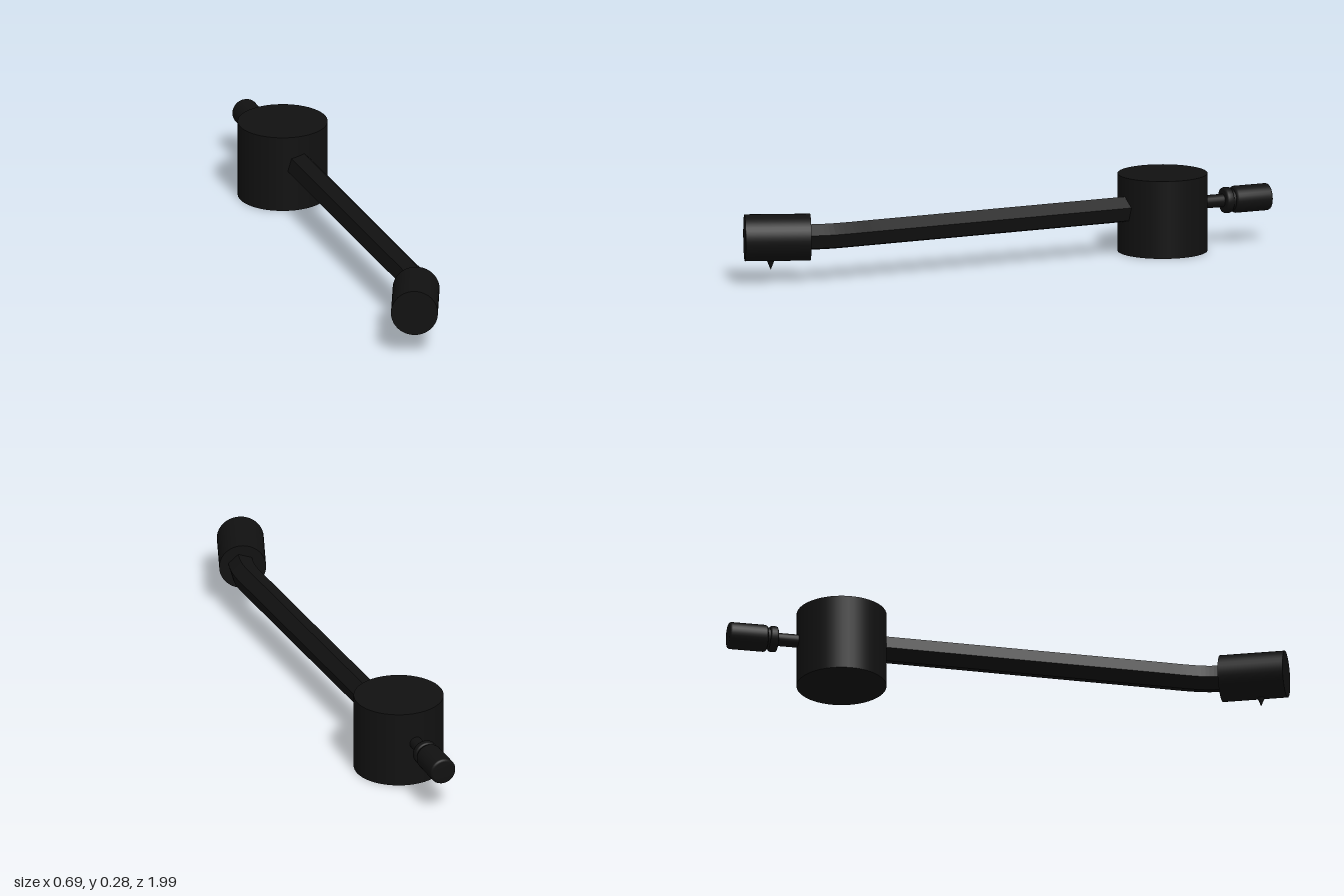
import * as THREE from 'three';

const black = new THREE.MeshStandardMaterial({ color: 0x111111 });
const blackFaceted = new THREE.MeshStandardMaterial({ color: 0x111111, flatShading: true });
const AXIS_Y = 0.166;

export function createModel() {
  const model = new THREE.Group();
  model.name = 'pivotingArm';

  const add = (name, geometry, parent = model, material = black) => {
    const mesh = new THREE.Mesh(geometry, material);
    mesh.name = name;
    parent.add(mesh);
    return mesh;
  };

  // Upright pivot drum
  add('pivotBase', new THREE.CylinderGeometry(0.163, 0.163, 0.285, 48))
    .position.set(-0.174, 0.1425, -0.585);

  // Hexagonal arm, straight and then bent towards the head
  const path = new THREE.CatmullRomCurve3([
    [-0.164, -0.585], [-0.03, -0.185], [0.104, 0.215], [0.204, 0.515],
    [0.238, 0.615], [0.256, 0.68], [0.262, 0.735], [0.262, 0.78],
  ].map(([x, z]) => new THREE.Vector3(x, AXIS_Y, z)));
  const hexagon = new THREE.Shape(Array.from({ length: 6 }, (_, i) => {
    const a = Math.PI / 4 + i * Math.PI / 3;
    return new THREE.Vector2(0.051 * Math.cos(a), 0.051 * Math.sin(a));
  }));
  add('armTube', new THREE.ExtrudeGeometry(hexagon, { steps: 80, extrudePath: path }), model, blackFaceted);

  // Cylindrical head with the needle below it
  const head = new THREE.Group();
  head.name = 'head';
  head.position.set(0.252, AXIS_Y - 0.001, 0.87);
  head.rotation.y = -0.063;
  model.add(head);
  add('headShell', new THREE.CylinderGeometry(0.085, 0.085, 0.238, 40).rotateX(Math.PI / 2), head);
  add('needle', new THREE.ConeGeometry(0.02, 0.05, 16).rotateX(Math.PI), head)
    .position.set(0.01, -0.092, 0.025);

  // Rear assembly, running backwards from the drum
  const rear = new THREE.Group();
  rear.name = 'rearAssembly';
  rear.position.set(-0.174, AXIS_Y - 0.001, -0.585);
  rear.rotation.y = 0.3;
  model.add(rear);
  add('rearRod', new THREE.CylinderGeometry(0.024, 0.024, 0.3, 20).rotateX(-Math.PI / 2), rear)
    .position.z = -0.15;

  // Turned parts with softened rims, spun around the rod
  const turned = (name, from, to, radius, bevel) => {
    const profile = [
      [0, from], [radius - bevel, from], [radius - bevel * 0.3, from + bevel * 0.3], [radius, from + bevel],
      [radius, to - bevel], [radius - bevel * 0.3, to - bevel * 0.3], [radius - bevel, to], [0, to],
    ].map(([r, y]) => new THREE.Vector2(r, y));
    add(name, new THREE.LatheGeometry(profile, 32).rotateX(-Math.PI / 2), rear);
  };
  turned('weightCollar', 0.238, 0.268, 0.047, 0.007);
  turned('weightNeck', 0.262, 0.285, 0.04, 0.002);
  turned('counterweight', 0.276, 0.419, 0.049, 0.009);

  return model;
}
